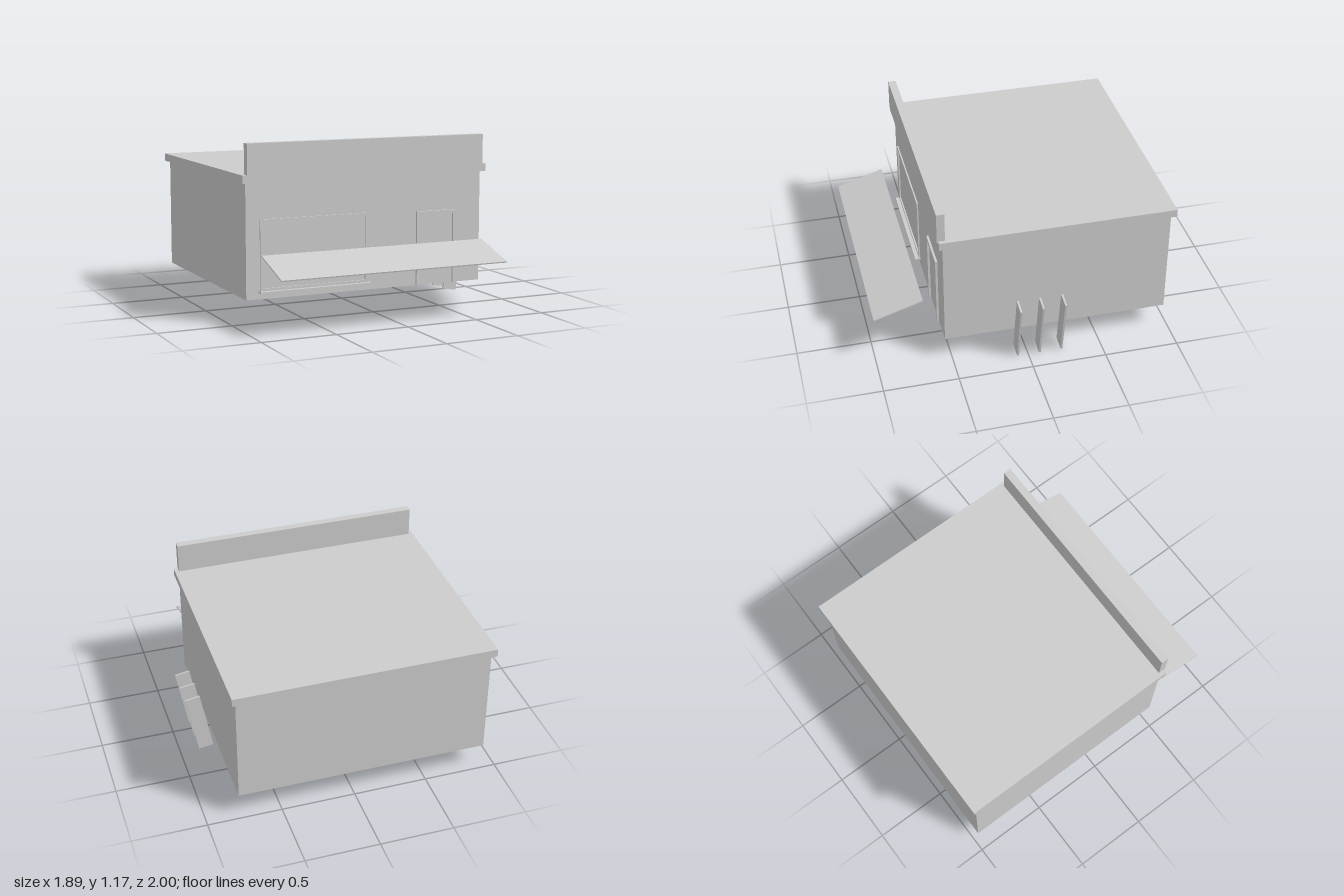
import * as THREE from 'three';

export function createModel() {
  const root = new THREE.Group();
  root.name = 'shop';
  const plaster = new THREE.MeshStandardMaterial({ color: 0xcccccc });
  plaster.name = 'light grey';

  const add = (name, geometry) => {
    const mesh = new THREE.Mesh(geometry, plaster);
    mesh.name = name;
    root.add(mesh);
    return mesh;
  };

  // Box given by its extents on each axis
  const block = (name, [x0, x1], [y0, y1], [z0, z1]) => {
    const mesh = add(name, new THREE.BoxGeometry(x1 - x0, y1 - y0, z1 - z0));
    mesh.position.set((x0 + x1) / 2, (y0 + y1) / 2, (z0 + z1) / 2);
    return mesh;
  };

  // Flat outline pushed out of the front wall
  const wallZ = 0.545;
  const trim = (name, shape, depth) => {
    const mesh = add(name, new THREE.ExtrudeGeometry(shape, { depth, bevelEnabled: false }));
    mesh.position.z = wallZ;
  };
  const outline = (points) => points.map(([x, y]) => new THREE.Vector2(x, y));
  const rect = (x0, x1, y0, y1) => outline([[x0, y0], [x1, y0], [x1, y1], [x0, y1]]);

  // Building shell
  block('walls', [-0.92, 0.78], [0.166, 0.92], [-0.97, wallZ]);
  block('roofSlab', [-0.948, 0.808], [0.915, 0.968], [-1, 0.572]);
  block('frontParapet', [-0.92, 0.78], [0.96, 1.168], [0.527, 0.58]);

  // Shop window frame with its sill
  const windowShape = new THREE.Shape(rect(-0.825, -0.065, 0.213, 0.68));
  windowShape.holes.push(new THREE.Path(rect(-0.805, -0.085, 0.235, 0.66)));
  trim('windowFrame', windowShape, 0.01);
  block('windowSill', [-0.835, -0.055], [0.207, 0.218], [wallZ, 0.583]);

  // Door frame, open at the bottom
  trim('doorFrame', new THREE.Shape(outline([
    [0.295, 0.166], [0.315, 0.166], [0.315, 0.642], [0.57, 0.642],
    [0.57, 0.166], [0.59, 0.166], [0.59, 0.665], [0.295, 0.665],
  ])), 0.015);

  // Sloping awning panel
  const awning = add('awning', new THREE.BoxGeometry(1.59, 0.008, 0.343));
  awning.position.set(-0.07, 0.416, 0.836);
  awning.rotation.x = 0.305;

  // Leaning planks beside the wall
  for (const z of [0.07, -0.08, -0.23]) {
    const plank = add('leaningPlank', new THREE.BoxGeometry(0.102, 0.435, 0.013));
    plank.position.set(0.857, 0.224, z);
    plank.rotation.z = -0.175;
  }

  return root;
}
